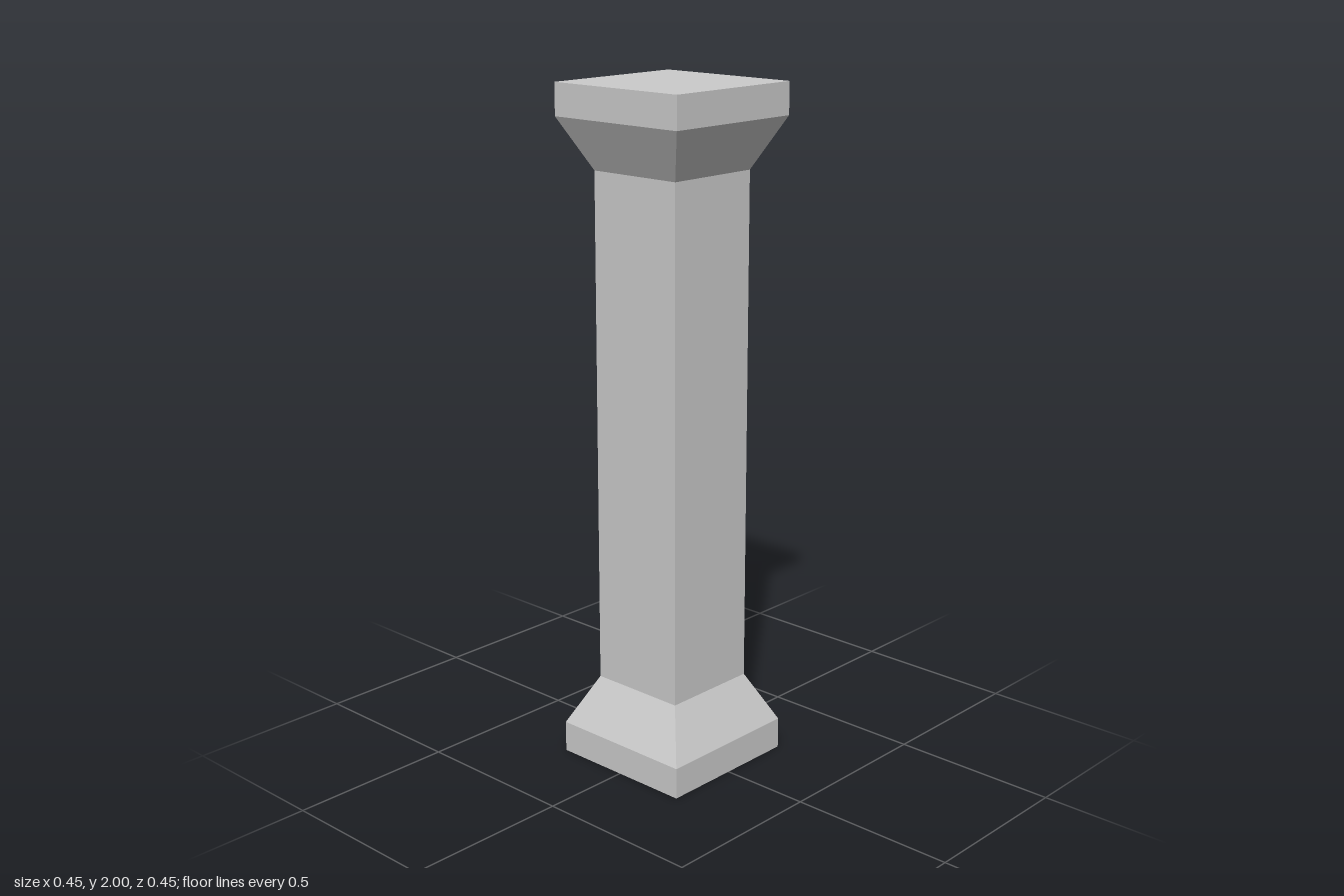
import * as THREE from 'three';

const HALF_WIDE = 0.227;   // half width of the base and capital slabs
const HALF_SHAFT = 0.152;  // half width of the shaft
const SLAB = 0.093;        // slab height
const NECK = 0.242;        // height where the flare meets the shaft
const HEIGHT = 2;

// Square section swept from [halfWidth, y] points, listed from bottom to top
function squarePart(name, profile, material) {
  const points = profile.map(([half, y]) => new THREE.Vector2(half * Math.SQRT2, y));
  const geometry = new THREE.LatheGeometry(points, 4, Math.PI / 4).toNonIndexed();
  geometry.computeVertexNormals();
  const mesh = new THREE.Mesh(geometry, material);
  mesh.name = name;
  return mesh;
}

export function createModel() {
  const material = new THREE.MeshStandardMaterial({ color: 0xcccccc, flatShading: true });
  const group = new THREE.Group();
  group.name = 'squareColumn';

  // Base: slab with a flare narrowing up to the shaft
  const base = [[0, 0], [HALF_WIDE, 0], [HALF_WIDE, SLAB], [HALF_SHAFT, NECK]];
  // Capital: the base turned upside down
  const capital = base.map(([half, y]) => [half, HEIGHT - y]).reverse();
  // Shaft: straight and open where it joins the ends
  const shaft = [[HALF_SHAFT, NECK], [HALF_SHAFT, HEIGHT - NECK]];

  group.add(
    squarePart('base', base, material),
    squarePart('shaft', shaft, material),
    squarePart('capital', capital, material)
  );
  return group;
}
